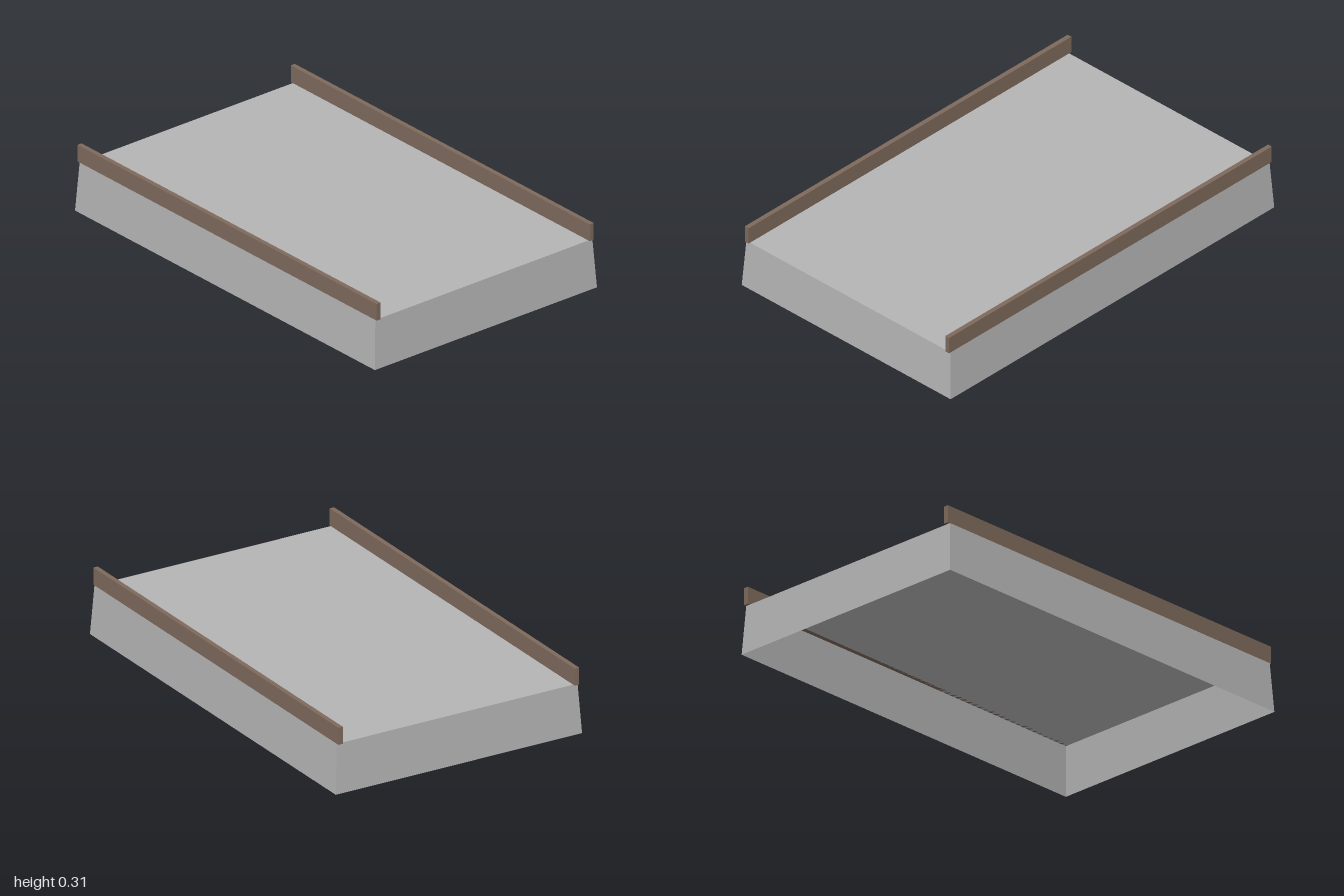
import * as THREE from 'three';

const HEIGHT = 0.23;
const RAIL_HEIGHT = 0.08;

// Tapered box without its bottom face, so the hollow underside is open
function hollowPlatform() {
  const geo = new THREE.BoxGeometry(2, HEIGHT, 1.24);
  geo.translate(0, HEIGHT / 2, 0);
  const pos = geo.attributes.position;
  for (let i = 0; i < pos.count; i++) {
    if (pos.getY(i) > 0.1) {
      pos.setX(i, Math.sign(pos.getX(i)) * 0.986);
      pos.setZ(i, Math.sign(pos.getZ(i)) * 0.606);
    }
  }
  // Keep every side except the fourth one, which is the bottom
  const index = Array.from(geo.index.array);
  index.splice(18, 6);
  geo.setIndex(index);
  geo.clearGroups();
  geo.computeVertexNormals();
  return geo;
}

export function createModel() {
  const concrete = new THREE.MeshStandardMaterial({ color: 0xb4b4b4, side: THREE.DoubleSide });
  concrete.name = 'concreteGrey';
  const wood = new THREE.MeshStandardMaterial({ color: 0x7e6a5c });
  wood.name = 'woodBrown';

  const model = new THREE.Group();
  model.name = 'platform';

  const base = new THREE.Mesh(hollowPlatform(), concrete);
  base.name = 'base';
  model.add(base);

  // Long kerb boards along the front and back edges
  const railGeo = new THREE.BoxGeometry(1.994, RAIL_HEIGHT, 0.022);
  for (const [name, side] of [['frontRail', 1], ['backRail', -1]]) {
    const rail = new THREE.Mesh(railGeo, wood);
    rail.name = name;
    rail.position.set(-0.002, HEIGHT + RAIL_HEIGHT / 2, side * 0.595);
    model.add(rail);
  }
  return model;
}
